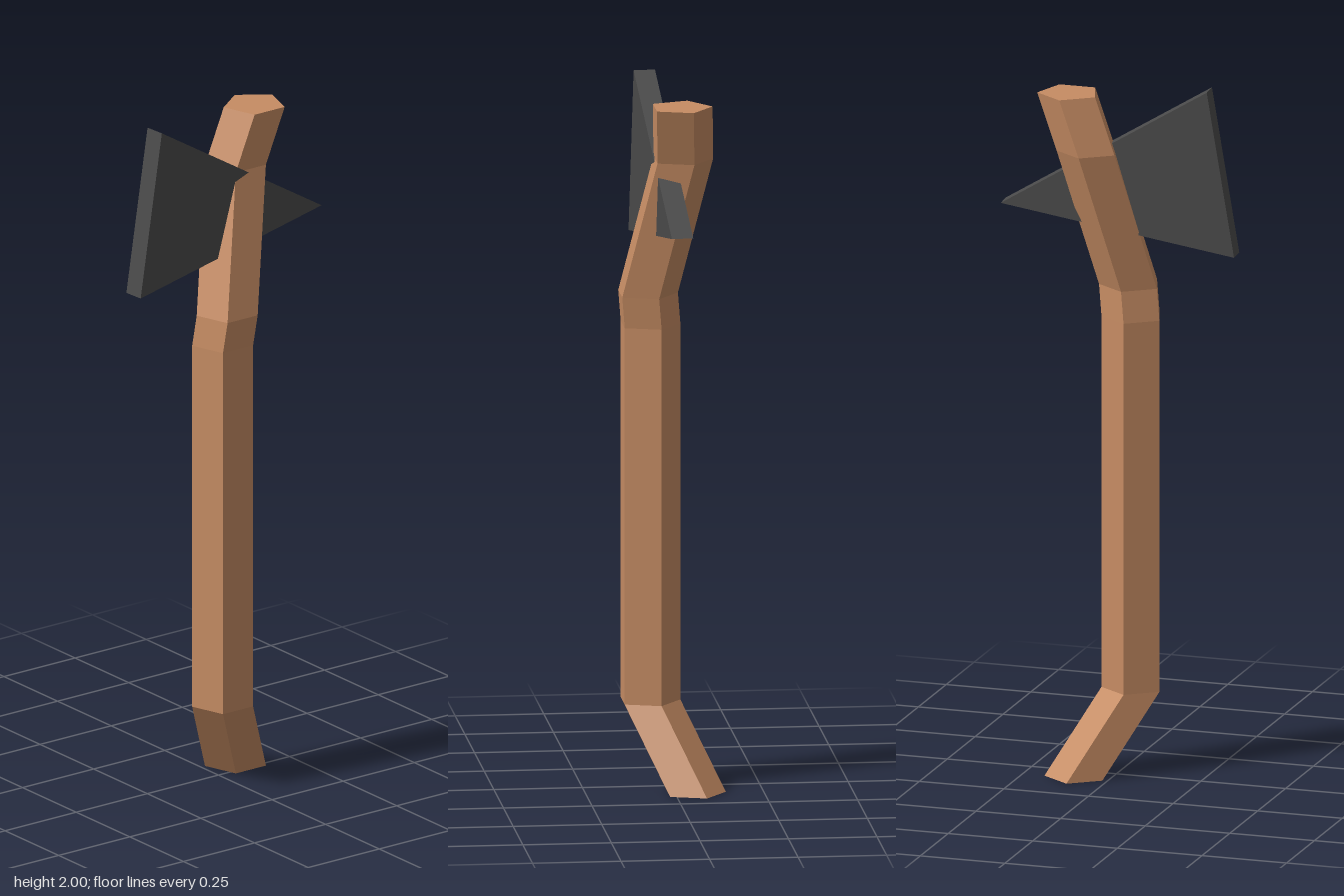
import * as THREE from 'three';

// Centre line of the handle from the foot to the top
const SPINE = [
  [0.1, 0, -0.054],
  [-0.031, 0.24, 0.06],
  [-0.031, 1.32, 0.06],
  [-0.021, 1.41, 0.068],
  [0.075, 1.813, -0.021],
  [0.135, 1.975, -0.013],
];

// Five-sided prism whose level rings are shifted onto the spine
function createHandle() {
  const last = SPINE.length - 1;
  const prism = new THREE.CylinderGeometry(0.09, 0.09, last, 5, last);
  prism.rotateY(Math.PI);
  const pos = prism.attributes.position;
  for (let i = 0; i < pos.count; i++) {
    const [x, y, z] = SPINE[Math.round(pos.getY(i) + last / 2)];
    pos.setXYZ(i, pos.getX(i) + x, y, pos.getZ(i) + z);
  }
  const geometry = prism.toNonIndexed();
  geometry.computeVertexNormals();
  const material = new THREE.MeshStandardMaterial({ color: 0xc68c63, flatShading: true });
  const mesh = new THREE.Mesh(geometry, material);
  mesh.name = 'handle';
  return mesh;
}

// One triangular slab passes through the handle: broad blade on one side, spike on the other
function createAxeHead() {
  const thickness = 0.061;
  const outline = new THREE.Shape([
    new THREE.Vector2(-0.26, 2.0),
    new THREE.Vector2(-0.339, 1.525),
    new THREE.Vector2(0.336, 1.64),
  ]);
  const geometry = new THREE.ExtrudeGeometry(outline, { depth: thickness, bevelEnabled: false });
  geometry.translate(0, 0, -thickness / 2);
  const material = new THREE.MeshStandardMaterial({ color: 0x4a4a4a, flatShading: true });
  const mesh = new THREE.Mesh(geometry, material);
  mesh.name = 'axeHead';
  mesh.rotation.y = 0.073;
  mesh.position.z = 0.028;
  return mesh;
}

export function createModel() {
  const group = new THREE.Group();
  group.name = 'axe';
  group.add(createHandle(), createAxeHead());
  return group;
}
